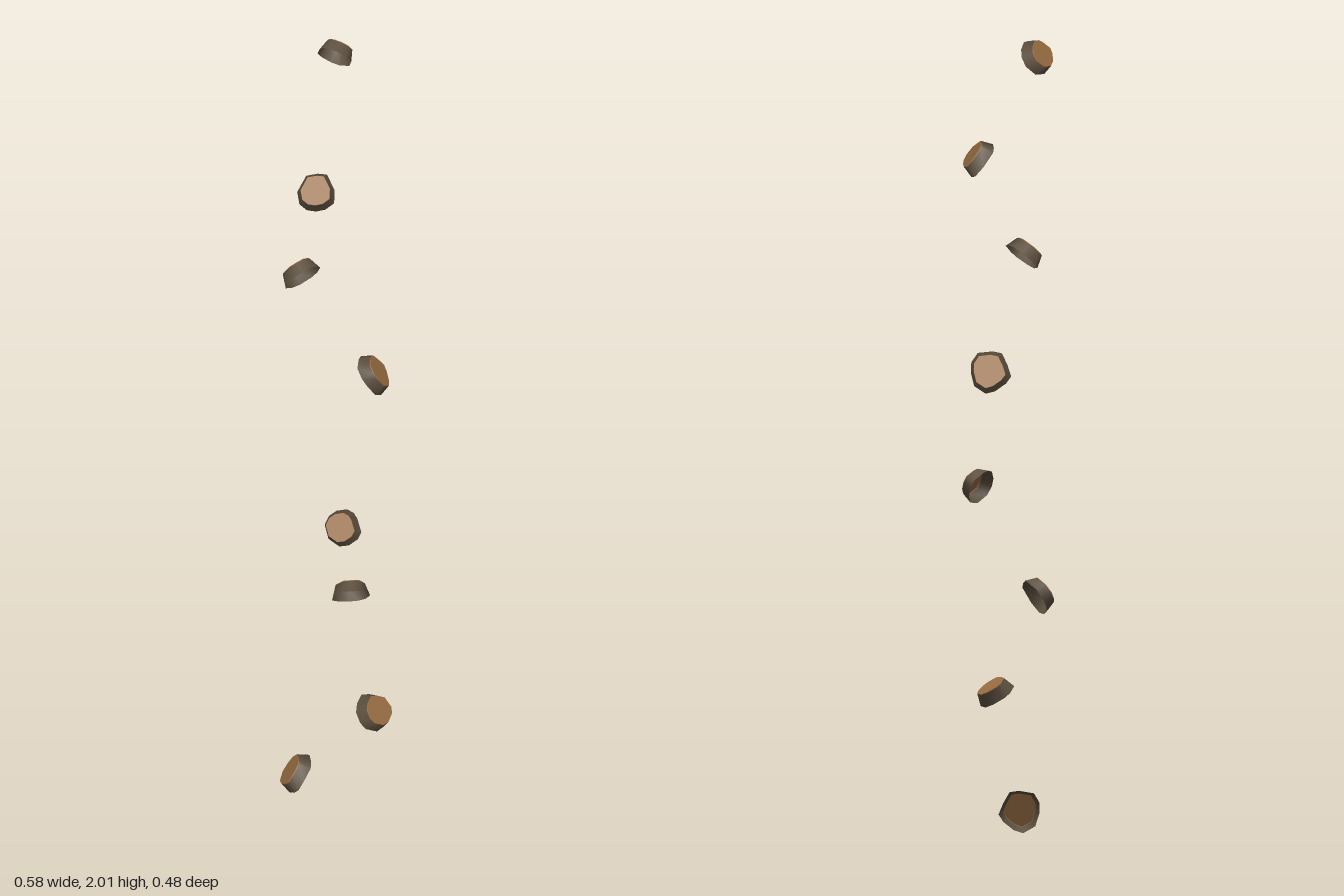
import * as THREE from 'three';

const bark = new THREE.MeshStandardMaterial({ color: 0x5c4f3f, side: THREE.DoubleSide });
bark.name = 'bark';
const cutWood = new THREE.MeshStandardMaterial({ color: 0x966c42, side: THREE.DoubleSide });
cutWood.name = 'cut wood';

const CAP_SCALE = 0.78;

// Each stub: base centre, compass direction (x, z), upward tilt, and its uneven base outline
const STUBS = [
  { name: 'lowestStub', base: [0.18, 0.1025, 0.08], dir: [0.995, 0.1], rise: 0.55, height: 0.066,
    outline: [[.11, -.015], [.085, .045], [.05, .105], [0, .112], [-.08, .098], [-.11, .045], [-.108, -.01],
      [-.085, -.08], [-.02, -.117], [.03, -.1], [.085, -.055]] },
  { name: 'lowerStub', base: [-0.185, 0.606, -0.07], dir: [-0.69, -0.72], rise: 0.61, height: 0.07,
    outline: [[.11, -.03], [.098, .05], [.05, .088], [.002, .11], [-.054, .085], [-.089, .049], [-.098, -.01],
      [-.085, -.055], [-.025, -.102], [.03, -.102], [.09, -.07]] },
  { name: 'upperStub', base: [-0.105, 1.2325, 0.14], dir: [0, 1], rise: 0.61, height: 0.068,
    outline: [[.1, .016], [.055, .1], [.005, .103], [-.055, .09], [-.1, 0], [-.085, -.066],
      [-.045, -.096], [.005, -.102], [.055, -.09], [.1, -.054]] },
  { name: 'topStub', base: [-0.025, 1.905, -0.14], dir: [0.4, -0.92], rise: 0.61, height: 0.068,
    outline: [[.105, -.005], [.07, .064], [.045, .09], [.006, .103], [-.05, .085], [-.085, .051], [-.1, 0],
      [-.066, -.07], [0, -.1], [.05, -.085], [.092, -.045]] },
];

// Open band between two scaled copies of an outline
function band(outline, s0, z0, s1, z1) {
  const n = outline.length;
  const pos = [], index = [];
  for (const [s, z] of [[s0, z0], [s1, z1]])
    for (const [u, v] of outline) pos.push(u * s, v * s, z);
  for (let i = 0; i < n; i++) {
    const j = (i + 1) % n;
    index.push(i, j, n + j, i, n + j, n + i);
  }
  const g = new THREE.BufferGeometry();
  g.setAttribute('position', new THREE.Float32BufferAttribute(pos, 3));
  g.setIndex(index);
  g.computeVertexNormals();
  return g;
}

function makeStub({ name, base, dir, rise, height, outline }) {
  const stub = new THREE.Group();
  stub.name = name;
  const add = (part, geometry, material) => {
    const mesh = new THREE.Mesh(geometry, material);
    mesh.name = part;
    stub.add(mesh);
    return mesh;
  };

  // Tapered bark wall, open at the base
  const lip = height - 0.004;
  add('barkWall', band(outline, 1, 0, CAP_SCALE + 0.015, lip), bark);

  // Sawn end with a thin bevelled rim
  add('cutRim', band(outline, CAP_SCALE + 0.015, lip, CAP_SCALE, height), cutWood);
  const face = new THREE.Shape(outline.map(([u, v]) => new THREE.Vector2(u * CAP_SCALE, v * CAP_SCALE)));
  add('cutFace', new THREE.ShapeGeometry(face), cutWood).position.z = height;

  // Aim the stub outwards and upwards
  const flat = Math.sqrt(1 - rise * rise) / Math.hypot(dir[0], dir[1]);
  const axis = new THREE.Vector3(dir[0] * flat, rise, dir[1] * flat);
  const side = new THREE.Vector3(0, 1, 0).cross(axis).normalize();
  const up = axis.clone().cross(side);
  stub.quaternion.setFromRotationMatrix(new THREE.Matrix4().makeBasis(side, up, axis));
  stub.position.set(...base);
  return stub;
}

export function createModel() {
  const model = new THREE.Group();
  model.name = 'branchStubs';
  for (const s of STUBS) model.add(makeStub(s));
  return model;
}
